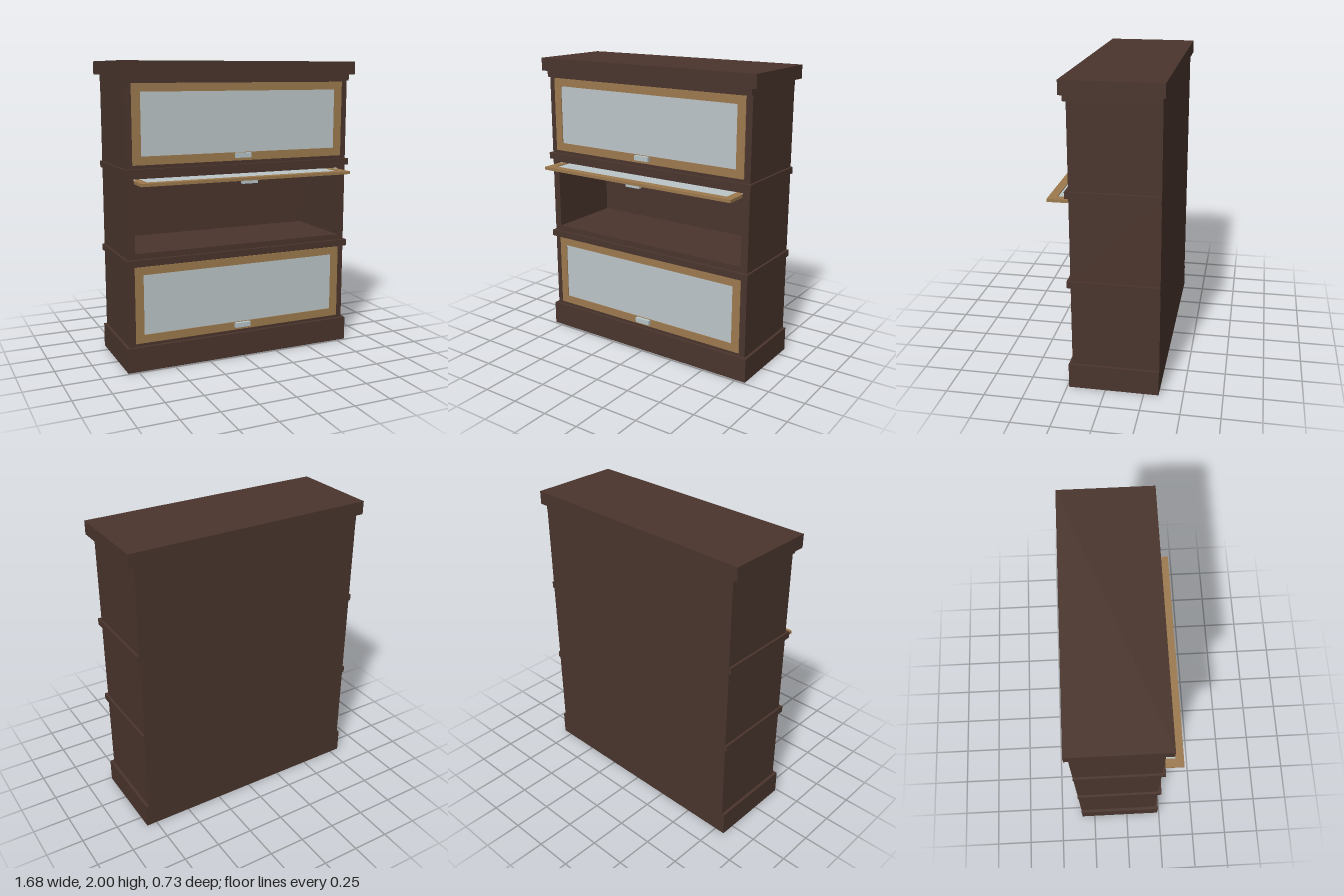
import * as THREE from 'three';

const mat = (name, color) => {
  const m = new THREE.MeshStandardMaterial({ color });
  m.name = name;
  return m;
};

export function createModel() {
  const darkWood = mat('dark wood', 0x4a352d);
  const oak = mat('oak frame', 0x9d7a4f);
  const glass = mat('pale glass', 0xbcc6c9);
  const metal = mat('light metal', 0xb7c5ca);

  const model = new THREE.Group();
  model.name = 'stackedBookcase';

  // Box given by its limits on each axis
  const box = (parent, name, material, x0, x1, y0, y1, z0, z1) => {
    const mesh = new THREE.Mesh(new THREE.BoxGeometry(x1 - x0, y1 - y0, z1 - z0), material);
    mesh.position.set((x0 + x1) / 2, (y0 + y1) / 2, (z0 + z1) / 2);
    mesh.name = name;
    parent.add(mesh);
    return mesh;
  };

  // Rectangular frame with an opening, extruded along z
  const frame = (parent, name, material, outer, inner, z0, z1) => {
    const corners = ([x, y0, y1]) => [[-x, y0], [x, y0], [x, y1], [-x, y1]].map(p => new THREE.Vector2(...p));
    const shape = new THREE.Shape(corners(outer));
    shape.holes.push(new THREE.Path(corners(inner).reverse()));
    const mesh = new THREE.Mesh(
      new THREE.ExtrudeGeometry(shape, { depth: z1 - z0, bevelEnabled: false }), material);
    mesh.position.z = z0;
    mesh.name = name;
    parent.add(mesh);
  };

  const BACK = -0.345;

  // Plinth, dividing rails and cornice
  box(model, 'plinth', darkWood, -0.82, 0.82, 0, 0.165, BACK, 0.237);
  box(model, 'lowerRail', darkWood, -0.815, 0.815, 0.703, 0.747, BACK, 0.237);
  box(model, 'upperRail', darkWood, -0.815, 0.815, 1.286, 1.33, BACK, 0.237);
  box(model, 'corniceMoulding', darkWood, -0.802, 0.802, 1.87, 1.912, BACK, 0.237);
  box(model, 'topBoard', darkWood, -0.84, 0.84, 1.912, 2, -0.362, 0.252);

  // Glazed door: origin at its top back edge, hanging down along -y
  const makeDoor = (name) => {
    const door = new THREE.Group();
    door.name = name;
    frame(door, 'doorFrame', oak, [0.757, -0.51, 0], [0.7, -0.455, -0.053], 0, 0.02);
    box(door, 'glassPane', glass, -0.7, 0.7, -0.455, -0.053, 0.006, 0.014);
    box(door, 'doorPull', metal, -0.055, 0.055, -0.49, -0.458, 0.02, 0.043);
    return door;
  };

  // Three stacked cases, the middle one open
  [[0.165, 0.703], [0.747, 1.286], [1.33, 1.87]].forEach(([y0, y1], i) => {
    const section = new THREE.Group();
    section.name = ['bottomCase', 'middleCase', 'topCase'][i];
    frame(section, 'caseShell', darkWood, [0.8, y0, y1], [0.75, y0 + 0.038, y1 - 0.02], BACK + 0.02, 0.215);
    box(section, 'backPanel', darkWood, -0.8, 0.8, y0, y1, BACK, BACK + 0.02);

    const door = makeDoor(i === 1 ? 'openDoor' : 'closedDoor');
    if (i === 1) {
      // Lifted level and slid part way into the case
      door.rotation.x = -Math.PI / 2;
      door.position.set(0, 1.257, -0.147);
      door.scale.x = 0.99;
    } else {
      door.position.set(0, y1 - 0.007, 0.201);
    }
    section.add(door);

    // Pivot pins the doors ride on
    if (i === 1) for (const side of [-1, 1]) {
      const pin = new THREE.Mesh(new THREE.CylinderGeometry(0.016, 0.016, 0.016, 16), metal);
      pin.rotation.z = Math.PI / 2;
      pin.position.set(side * 0.742, 1.248, 0.185);
      pin.name = 'pivotPin';
      section.add(pin);
    }
    model.add(section);
  });

  // Turn the open door so its outside faces down and its pull edge faces forward
  model.getObjectByName('openDoor').rotation.x = Math.PI / 2;
  model.getObjectByName('openDoor').scale.y = -1;
  model.getObjectByName('openDoor').position.y = 1.257;
  return model;
}
